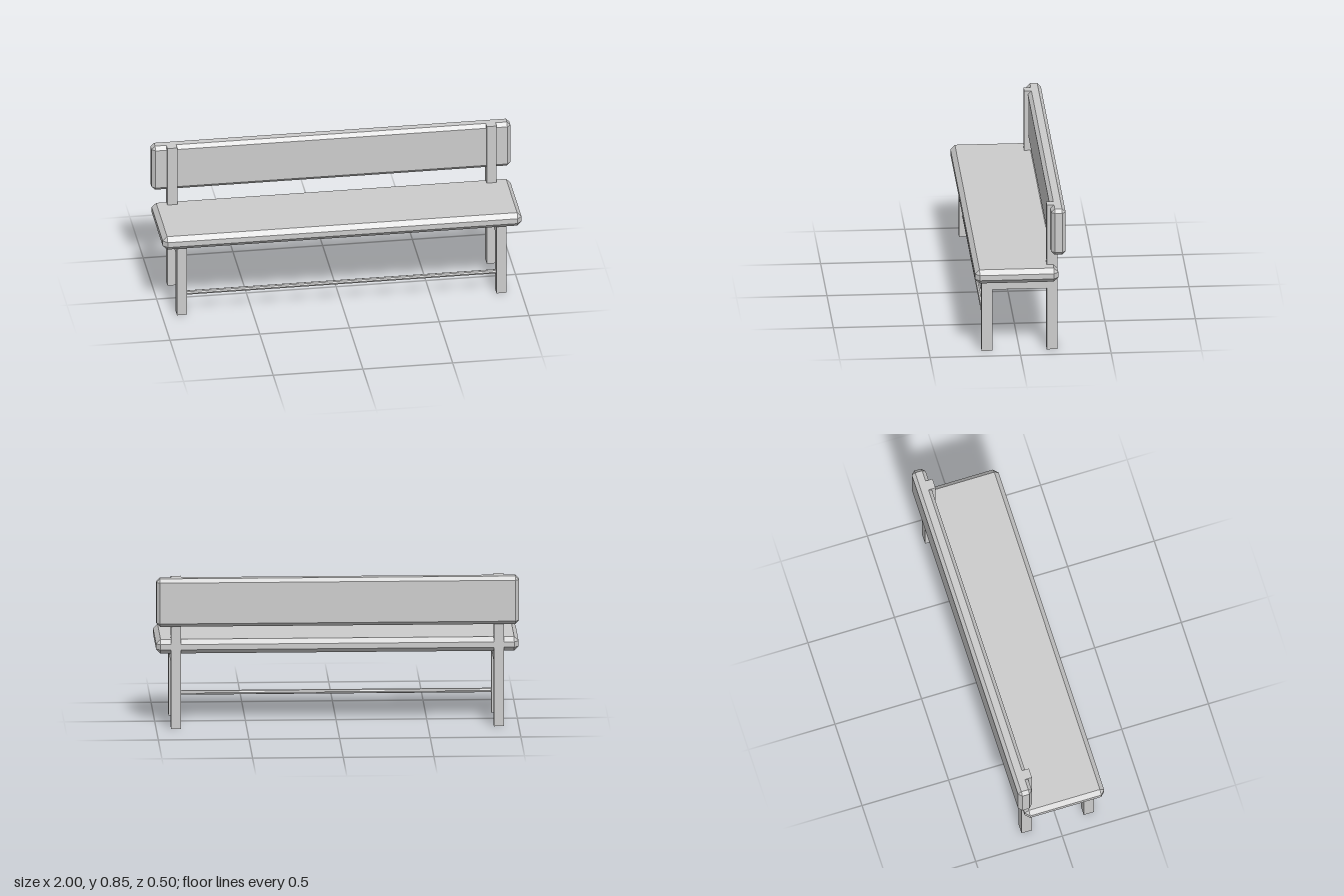
import * as THREE from 'three';
import { ConvexGeometry } from 'three/addons/geometries/ConvexGeometry.js';

// Box with every edge and corner cut by a flat bevel
function bevelledBox(w, h, d, bevel) {
  const points = [];
  for (const sx of [-1, 1]) for (const sy of [-1, 1]) for (const sz of [-1, 1]) {
    for (let full = 0; full < 3; full++) {
      const half = [w / 2, h / 2, d / 2].map((s, i) => (i === full ? s : s - bevel));
      points.push(new THREE.Vector3(sx * half[0], sy * half[1], sz * half[2]));
    }
  }
  return new ConvexGeometry(points);
}

export function createModel() {
  const bench = new THREE.Group();
  bench.name = 'bench';
  const grey = new THREE.MeshStandardMaterial({ color: 0xcccccc });
  grey.name = 'light grey';

  function add(name, geometry, x, y, z) {
    const mesh = new THREE.Mesh(geometry, grey);
    mesh.name = name;
    mesh.position.set(x, y, z);
    bench.add(mesh);
    return mesh;
  }

  // Seat plank and backrest plank
  add('seat', bevelledBox(2, 0.08, 0.46, 0.025), 0, 0.46, 0.02);
  add('backrest', bevelledBox(2, 0.27, 0.08, 0.02), 0, 0.715, -0.21);

  // Side frames: front leg, rail under the seat and tall rear post in one outline
  const outline = new THREE.Shape([
    [0.21, 0], [0.21, 0.42], [-0.15, 0.42], [-0.15, 0.85],
    [-0.21, 0.85], [-0.21, 0], [-0.15, 0], [-0.15, 0.36], [0.15, 0.36], [0.15, 0],
  ].map(([z, y]) => new THREE.Vector2(-z, y)));
  const thickness = 0.055;
  const frame = new THREE.ExtrudeGeometry(outline, { depth: thickness, bevelEnabled: false });
  frame.translate(0, 0, -thickness / 2);
  frame.rotateY(Math.PI / 2); // outline x becomes -z
  add('leftFrame', frame, 0.89, 0, 0);
  add('rightFrame', frame, -0.89, 0, 0);

  // Thin stretcher rod between the front legs
  const rod = new THREE.CylinderGeometry(0.0125, 0.0125, 1.74, 8).toNonIndexed();
  rod.rotateZ(Math.PI / 2);
  rod.computeVertexNormals();
  add('stretcherRod', rod, 0, 0.122, 0.18);

  return bench;
}
